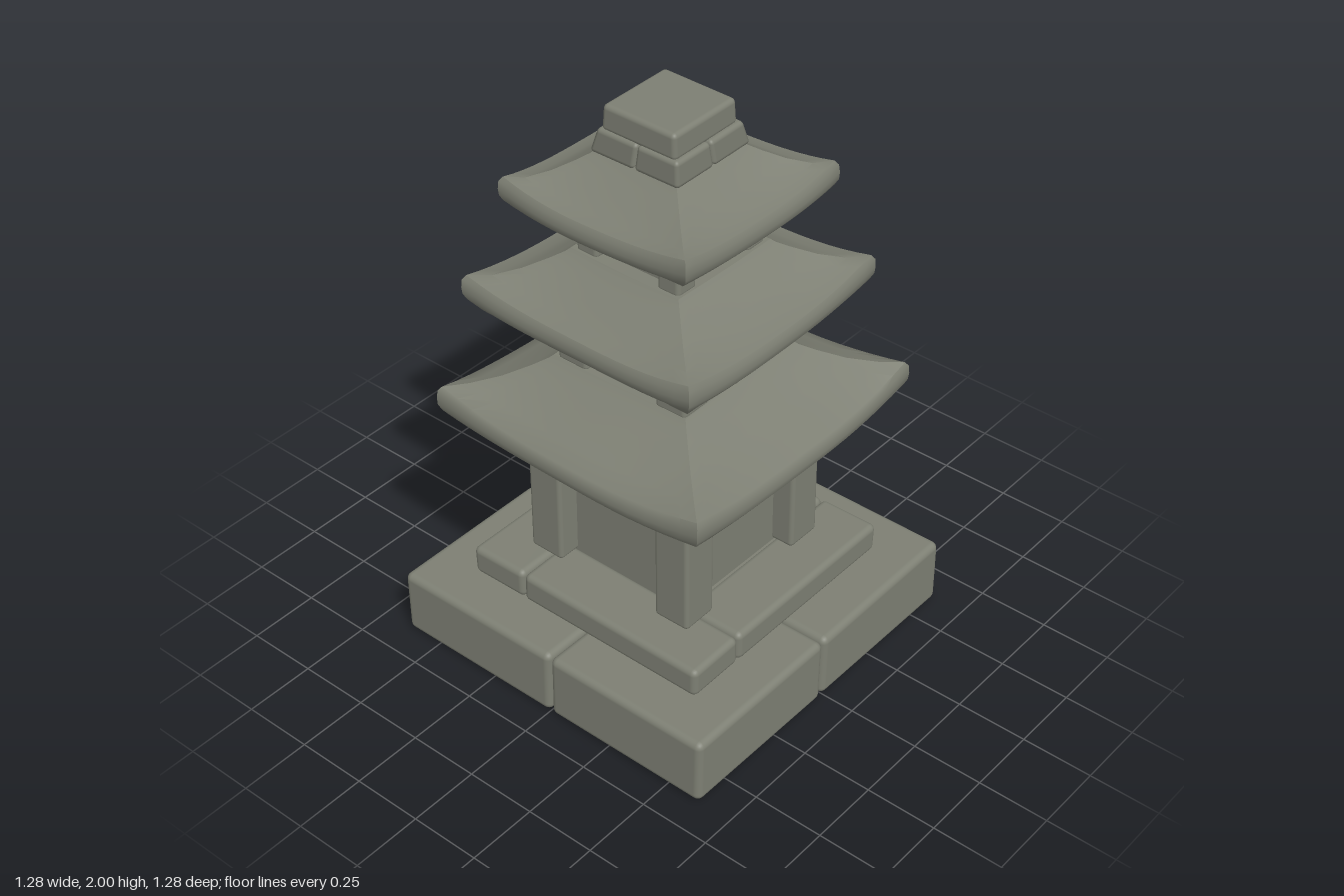
import * as THREE from 'three';
import { mergeGeometries, toCreasedNormals } from 'three/addons/utils/BufferGeometryUtils.js';
import { RoundedBoxGeometry } from 'three/addons/geometries/RoundedBoxGeometry.js';

const stone = new THREE.MeshStandardMaterial({ color: 0x7d7f73 });
stone.name = 'weathered stone';

// Gentle, repeatable unevenness of hand-cut stone
function wear(geometry, amount) {
  const p = geometry.attributes.position;
  for (let i = 0; i < p.count; i++) {
    const x = p.getX(i), y = p.getY(i), z = p.getZ(i);
    p.setXYZ(i,
      x + amount * Math.sin(11 * y + 7 * z),
      y + amount * 0.5 * Math.sin(9 * x - 8 * z),
      z + amount * Math.sin(10 * y - 6 * x));
  }
  return geometry;
}

// Rounded block given by its limits on each axis; taper narrows the top towards the given centre
function block(name, [x0, x1], [y0, y1], [z0, z1], radius, taper = 0, cx = 0, cz = 0) {
  const g = new RoundedBoxGeometry(x1 - x0, y1 - y0, z1 - z0, 3, radius);
  g.translate((x0 + x1) / 2, (y0 + y1) / 2, (z0 + z1) / 2);
  if (taper) {
    const p = g.attributes.position;
    for (let i = 0; i < p.count; i++) {
      const s = 1 - taper * (p.getY(i) - y0) / (y1 - y0);
      p.setX(i, cx + (p.getX(i) - cx) * s);
      p.setZ(i, cz + (p.getZ(i) - cz) * s);
    }
  }
  const mesh = new THREE.Mesh(wear(g, 0.002), stone);
  mesh.name = name;
  return mesh;
}

// Recessed chamber with four corner posts
function chamber(name, cx, cz, half, post, recess, y0, y1) {
  const group = new THREE.Group();
  group.name = name;
  const h = half - recess;
  group.add(block('wall', [cx - h, cx + h], [y0 - 0.01, y1 + 0.01], [cz - h, cz + h], 0.005));
  for (const sx of [-1, 1]) for (const sz of [-1, 1]) {
    const mx = cx + sx * (half - post / 2), mz = cz + sz * (half - post / 2);
    group.add(block('cornerPost', [mx - post / 2, mx + post / 2], [y0, y1],
      [mz - post / 2, mz + post / 2], 0.015));
  }
  return group;
}

// Square roof with concave slopes and corners that sweep upwards
function roof(name, cx, cz, eave, top, base, y0, height, lift) {
  const run = eave - top;
  // each ring: half width, height, corner lift
  const rings = [
    [0, 0, 0], [base, 0, 0], [base + (eave - base) * 0.3, 0.01, 0.1],
    [eave - 0.012, 0.03, 0.6], [eave - 0.002, 0.042, 0.8], [eave, 0.06, 0.95],
    [eave - 0.002, 0.085, 1], [eave - 0.012, 0.1, 1],
    [top + run * 0.72, height * 0.5, 0.6], [top + run * 0.45, height * 0.66, 0.25],
    [top + run * 0.2, height * 0.84, 0.05], [top + 0.012, height - 0.012, 0],
    [top, height, 0], [0, height, 0],
  ];
  const n = 16, pos = [], index = [];
  rings.forEach(([w, y, l]) => {
    for (let i = 0; i <= n; i++) {
      const u = (i / n) * 2 - 1;
      pos.push(u * w, y0 + y + l * lift * Math.abs(u) ** 2.5, w);
    }
  });
  for (let r = 0; r < rings.length - 1; r++) for (let i = 0; i < n; i++) {
    const a = r * (n + 1) + i, b = a + n + 1;
    if (r > 0) index.push(a, a + 1, b + 1);
    else index.push(a, b + 1, b);
    if (r > 0 && r < rings.length - 2) index.push(a, b + 1, b);
  }
  const side = new THREE.BufferGeometry();
  side.setAttribute('position', new THREE.Float32BufferAttribute(pos, 3));
  side.setIndex(index);
  const sides = [0, 1, 2, 3].map(k => side.clone().rotateY(k * Math.PI / 2));
  const g = wear(mergeGeometries(sides), 0.003).translate(cx, 0, cz);
  const mesh = new THREE.Mesh(toCreasedNormals(g, 0.65), stone);
  mesh.name = name;
  return mesh;
}

export function createModel() {
  const model = new THREE.Group();
  model.name = 'stonePagoda';

  // Four foundation blocks
  const foundation = new THREE.Group();
  foundation.name = 'foundation';
  for (const x of [[-0.638, -0.014], [-0.01, 0.634]])
    for (const z of [[-0.638, 0.006], [0.01, 0.634]])
      foundation.add(block('foundationBlock', x, [0, 0.24], z, 0.024));
  model.add(foundation);

  // Step of four long stones laid in a pinwheel
  const step = new THREE.Group();
  step.name = 'step';
  for (let k = 0; k < 4; k++) {
    const s = block('stepStone', [-0.255, 0.475], [0.238, 0.345], [0.255, 0.475], 0.022);
    s.rotation.y = k * Math.PI / 2;
    step.add(s);
  }
  step.add(block('stepCore', [-0.27, 0.27], [0.238, 0.34], [-0.27, 0.27], 0.005));
  step.position.set(-0.005, 0, 0.008);
  model.add(step);

  // Storeys, from the ground up
  model.add(chamber('lowerChamber', -0.012, 0.006, 0.335, 0.135, 0.08, 0.345, 0.86));
  model.add(roof('lowerRoof', -0.006, 0, 0.532, 0.265, 0.45, 0.85, 0.26, 0.055));
  model.add(chamber('middleChamber', -0.013, 0.005, 0.257, 0.12, 0.045, 1.1, 1.29));
  model.add(roof('middleRoof', -0.015, -0.006, 0.452, 0.215, 0.39, 1.278, 0.227, 0.045));
  model.add(chamber('upperChamber', -0.017, -0.004, 0.204, 0.085, 0.035, 1.495, 1.645));
  model.add(roof('upperRoof', -0.018, -0.008, 0.362, 0.155, 0.295, 1.632, 0.218, 0.04));

  // Finial: a ring of four small stones under a square cap
  const finial = new THREE.Group();
  finial.name = 'finial';
  const cx = -0.012, cz = -0.01;
  for (const x of [[-0.185, -0.013], [-0.011, 0.161]])
    for (const z of [[-0.182, -0.011], [-0.009, 0.162]])
      finial.add(block('finialStone', x, [1.84, 1.92], z, 0.014, 0.1, cx, cz));
  finial.add(block('cap', [-0.161, 0.133], [1.912, 2], [-0.156, 0.132], 0.016, 0.03, cx, cz));
  model.add(finial);

  return model;
}
